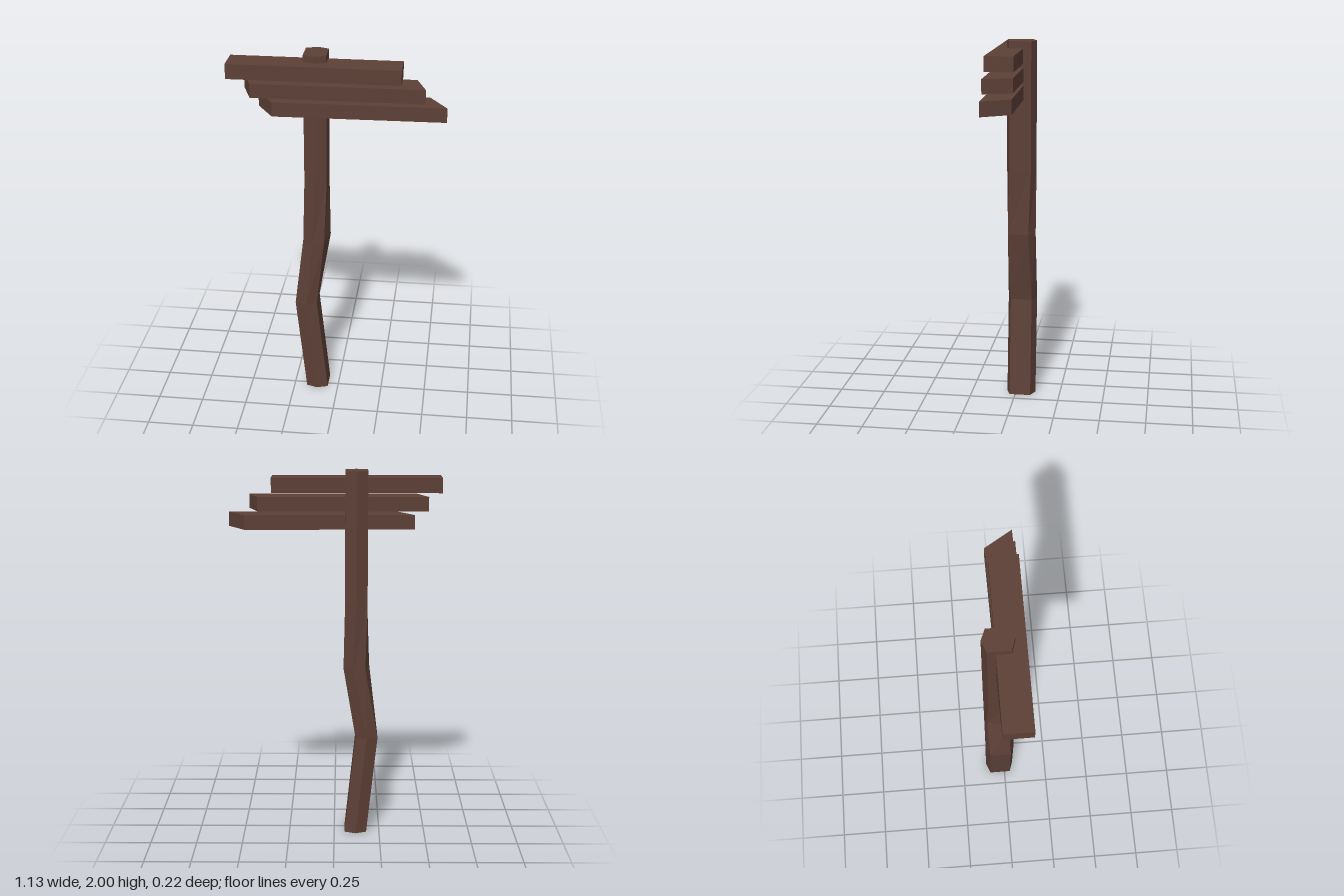
import * as THREE from 'three';

const wood = new THREE.MeshStandardMaterial({ color: 0x5d4037 });
wood.name = 'dark brown wood';
wood.flatShading = true;

// Joins stacked rings of [x, y, z] points into a closed, faceted solid
function loft(name, rings) {
  const n = rings[0].length;
  const last = (rings.length - 1) * n;
  const index = [];
  for (let r = 0; r < rings.length - 1; r++) {
    for (let i = 0; i < n; i++) {
      const a = r * n + i, b = r * n + (i + 1) % n;
      index.push(a, b, b + n, a, b + n, a + n);
    }
  }
  // end caps
  for (let i = 1; i < n - 1; i++) {
    index.push(0, i + 1, i, last, last + i, last + i + 1);
  }
  const indexed = new THREE.BufferGeometry();
  indexed.setAttribute('position', new THREE.Float32BufferAttribute(rings.flat(2), 3));
  indexed.setIndex(index);
  const geometry = indexed.toNonIndexed();
  geometry.computeVertexNormals();
  const mesh = new THREE.Mesh(geometry, wood);
  mesh.name = name;
  return mesh;
}

// Six-sided ring of the post, moved sideways and twisted about the vertical
function postRing(y, x, twist) {
  const hexagon = [[0, 0.081], [0.06, 0.061], [0.06, -0.057], [0, -0.081], [-0.06, -0.057], [-0.06, 0.061]];
  const c = Math.cos(twist), s = Math.sin(twist);
  return hexagon.map(([px, pz]) => [x + px * c - pz * s, y, -0.029 + px * s + pz * c]);
}

// Plank from its plan corners: front right, back right, back left, front left
function plank(name, y0, y1, corners) {
  return loft(name, [y0, y1].map((y) => corners.map(([x, z]) => [x, y, z])));
}

export function createModel() {
  const model = new THREE.Group();
  model.name = 'signpost';

  // Crooked post
  model.add(loft('post', [
    postRing(0, -0.118, 0),
    postRing(0.55, -0.177, 0),
    postRing(0.94, -0.12, 0.19),
    postRing(1.3, -0.118, 0),
    postRing(2, -0.118, 0),
  ]));

  // Sign planks with slanted ends
  model.add(plank('topPlank', 1.882, 1.962,
    [[0.332, 0.107], [0.332, -0.043], [-0.568, -0.043], [-0.568, 0.107]]));
  model.add(plank('middlePlank', 1.787, 1.862,
    [[0.456, 0.1], [0.404, -0.05], [-0.498, -0.041], [-0.444, 0.109]]));
  model.add(plank('bottomPlank', 1.69, 1.767,
    [[0.567, 0.094], [0.474, -0.054], [-0.425, -0.04], [-0.332, 0.11]]));

  return model;
}
